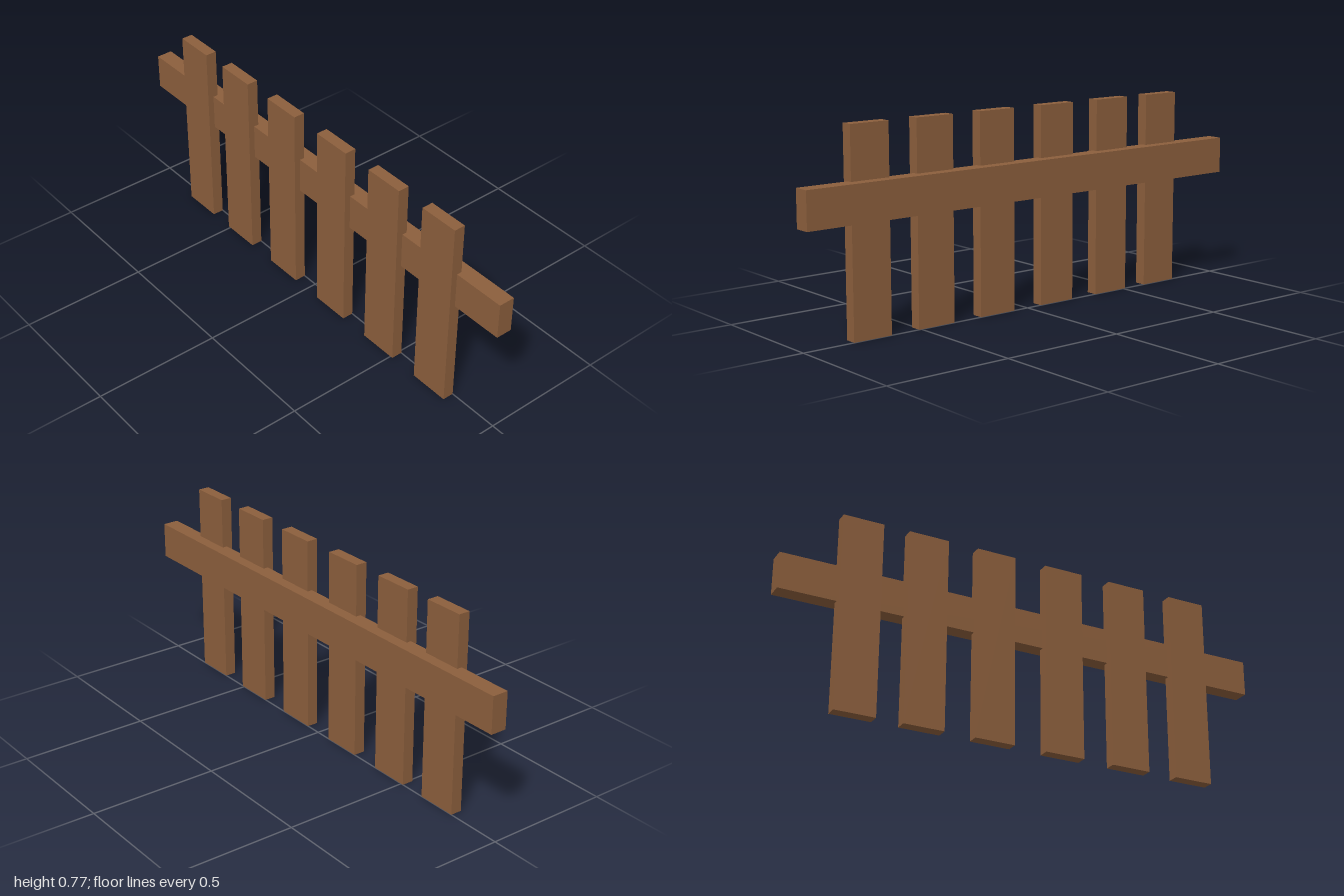
import * as THREE from 'three';

export function createModel() {
  const fence = new THREE.Group();
  fence.name = 'fence';
  const wood = new THREE.MeshStandardMaterial({ color: 0x8b5e3c, flatShading: true });

  const addBoard = (name, size, position) => {
    const board = new THREE.Mesh(new THREE.BoxGeometry(...size), wood);
    board.name = name;
    board.position.set(...position);
    fence.add(board);
  };

  // Horizontal rail, partly sunk into the backs of the pickets
  addBoard('rail', [2, 0.143, 0.064], [0, 0.502, -0.012]);

  // Upright pickets, slightly unevenly spaced
  const pickets = [-0.695, -0.43, -0.147, 0.145, 0.43, 0.711];
  pickets.forEach((x, i) => {
    addBoard(`picket${i + 1}`, [0.161, 0.775, 0.045], [x, 0.3875, 0.0222]);
  });

  return fence;
}
